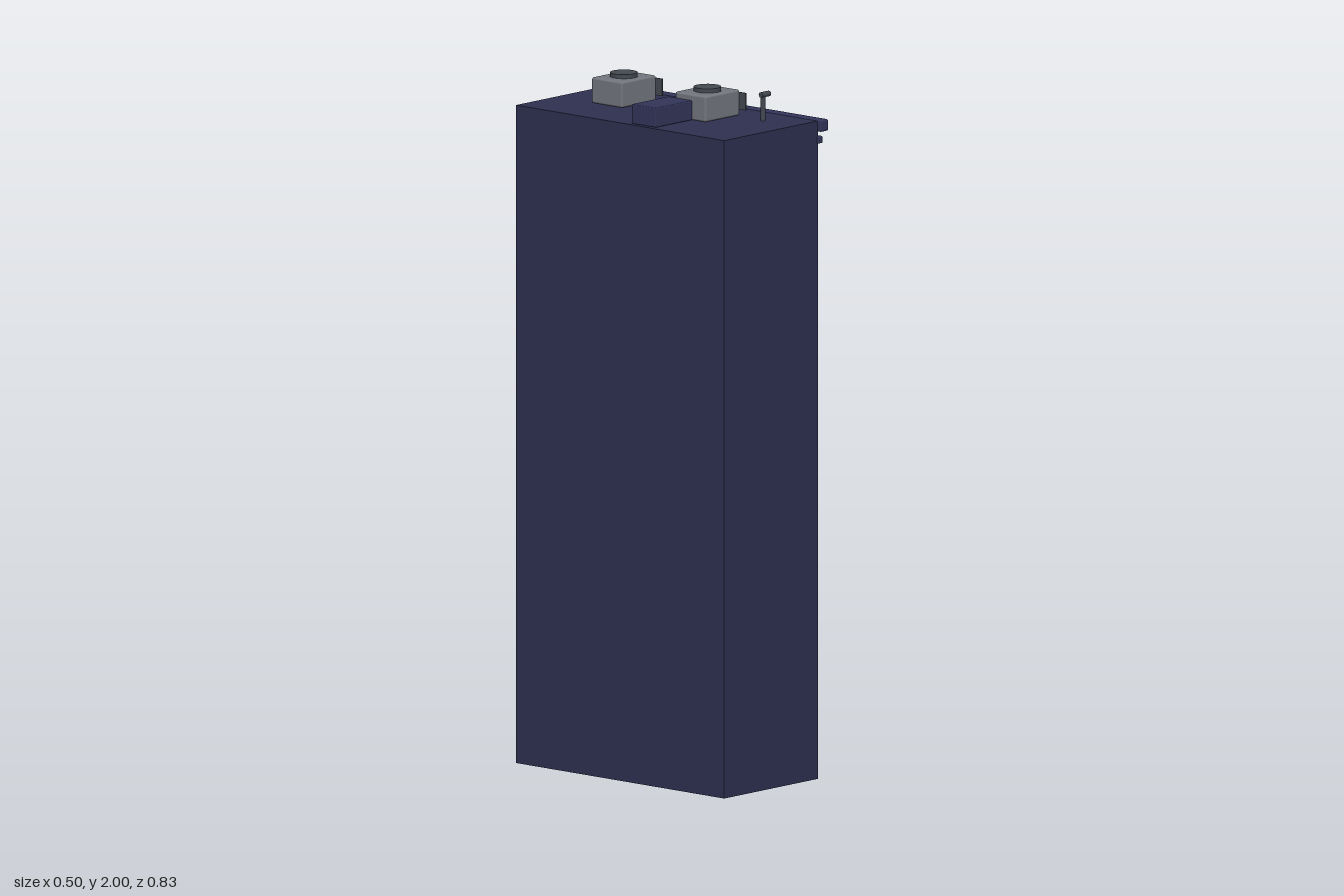
import * as THREE from 'three';
import { RoundedBoxGeometry } from 'three/addons/geometries/RoundedBoxGeometry.js';

const mat = (color) => new THREE.MeshStandardMaterial({ color });
const M = {
  wall: mat(0x2e3050), trim: mat(0x33355a), shop: mat(0x272a48), dark: mat(0x1d2036),
  lit: mat(0xd0b070), frame: mat(0x6e6250), door: mat(0x22252c), awning: mat(0x1f4a5a),
  iron: mat(0x2a2e33), stair: mat(0x3c4046), unit: mat(0x74777f), fan: mat(0x454a52),
};

// Box given by its min and max on each axis
function box(parent, name, material, [x0, x1], [y0, y1], [z0, z1], radius = 0) {
  const s = [x1 - x0, y1 - y0, z1 - z0];
  const geo = radius ? new RoundedBoxGeometry(...s, 2, radius) : new THREE.BoxGeometry(...s);
  const mesh = new THREE.Mesh(geo, material);
  mesh.name = name;
  mesh.position.set((x0 + x1) / 2, (y0 + y1) / 2, (z0 + z1) / 2);
  parent.add(mesh);
  return mesh;
}

function group(parent, name) {
  const g = new THREE.Group();
  g.name = name;
  parent.add(g);
  return g;
}

const WALL = 0.15, ROOF = 1.913;

// Two-pane window with lintel, mullion and sill
function addWindow(parent, y, z, isLit) {
  const g = group(parent, 'window');
  box(g, 'windowGlass', isLit ? M.lit : M.dark, [WALL - 0.01, 0.154], [y - 0.063, y + 0.063], [z - 0.049, z + 0.049]);
  box(g, 'mullion', isLit ? M.frame : M.wall, [WALL, 0.156], [y - 0.063, y + 0.063], [z - 0.003, z + 0.003]);
  for (const s of [-1, 1])
    box(g, 'jamb', M.wall, [WALL, 0.156], [y - 0.063, y + 0.063], [z + s * 0.05 - 0.002, z + s * 0.05 + 0.002]);
  box(g, 'lintel', M.frame, [WALL, 0.157], [y + 0.062, y + 0.068], [z - 0.053, z + 0.053]);
  box(g, 'sill', M.frame, [WALL, 0.16], [y - 0.07, y - 0.062], [z - 0.056, z + 0.056]);
}

// Platform with a railing on its three open sides
function addLanding(parent, y) {
  const g = group(parent, 'landing');
  const z0 = 0.055, z1 = 0.296, x1 = 0.245, top = y + 0.055, t = 0.006;
  box(g, 'platform', M.iron, [WALL, x1], [y - 0.005, y + 0.005], [z0, z1]);
  box(g, 'frontRail', M.iron, [x1 - t, x1], [top - t, top], [z0, z1]);
  for (const z of [z0, z1 - t]) {
    box(g, 'endRail', M.iron, [WALL, x1], [top - t, top], [z, z + t]);
  }
  for (let i = 0; i < 5; i++) {
    const z = z0 + (z1 - z0 - t) * i / 4;
    box(g, 'railPost', M.iron, [x1 - t, x1], [y, top], [z, z + t]);
  }
}

// Rooftop cooling unit with a fan cap and a screen on the street side
function addCoolingUnit(parent, z) {
  const g = group(parent, 'coolingUnit');
  box(g, 'unitHousing', M.unit, [-0.083, 0.063], [ROOF, 1.988], [z - 0.059, z + 0.059], 0.006);
  const fan = new THREE.Mesh(new THREE.CylinderGeometry(0.04, 0.04, 0.02, 14), M.fan);
  fan.name = 'fanCap';
  fan.position.set(-0.01, 1.99, z);
  g.add(fan);
  box(g, 'unitScreen', M.fan, [0.063, 0.067], [1.93, 1.98], [z - 0.081, z + 0.081]);
}

export function createModel() {
  const model = new THREE.Group();
  model.name = 'apartmentBuilding';

  // Main block and cornice
  box(model, 'mainBlock', M.wall, [-0.25, WALL], [0, ROOF], [-0.4, 0.4]);
  box(model, 'cornice', M.trim, [0.147, 0.18], [1.882, 1.916], [-0.414, 0.414], 0.005);
  box(model, 'corniceBand', M.trim, [0.145, 0.166], [1.847, 1.868], [-0.405, 0.405], 0.004);

  // Windows, bottom row first; 1 means lit, columns run from +z to -z
  const rows = ['0111', '1110', '0011', '1101', '1111', '0111', '0100'];
  const windows = group(model, 'windows');
  rows.forEach((row, r) => [...row].forEach((c, i) =>
    addWindow(windows, 0.31 + r * 0.2413, 0.281 - i * 0.1873, c === '1')));

  // Street front: surround, door, shop window, awning
  const shop = group(model, 'shopFront');
  box(shop, 'shopSurround', M.shop, [WALL - 0.01, 0.155], [0.05, 0.225], [-0.377, 0.377]);
  box(shop, 'door', M.door, [WALL, 0.16], [0.042, 0.197], [0.18, 0.302]);
  box(shop, 'shopGlass', M.lit, [WALL, 0.16], [0.075, 0.2], [-0.3, 0.11]);
  for (const z of [-0.3, -0.163, -0.027, 0.11])
    box(shop, 'shopMullion', M.frame, [WALL, 0.163], [0.075, 0.2], [z - 0.002, z + 0.002]);
  const awning = box(shop, 'awning', M.awning, [WALL, 0.166], [0.205, 0.243], [-0.34, 0.155]);
  // Slope the awning by pulling in its upper outer edge
  const p = awning.geometry.attributes.position;
  for (let i = 0; i < p.count; i++)
    if (p.getX(i) > 0 && p.getY(i) > 0) p.setX(i, p.getX(i) - 0.009);
  awning.geometry.computeVertexNormals();

  // Fire escape: five landings with flights alternating sides
  const escape = group(model, 'fireEscape');
  for (let i = 0; i < 5; i++) {
    const y = 0.552 + i * 0.2413;
    addLanding(escape, y);
    const z = i % 2 ? 0.274 : 0.081;
    box(escape, 'stairFlight', M.stair, [0.16, 0.24], [y, y + 0.2413], [z - 0.004, z + 0.004]);
  }

  // Roof: cooling units, stair bulkhead, vent pipe
  const roof = group(model, 'roofEquipment');
  addCoolingUnit(roof, 0.119);
  addCoolingUnit(roof, -0.202);
  box(roof, 'bulkhead', M.trim, [-0.237, -0.078], [ROOF, 1.97], [0.032, 0.125], 0.003);
  box(roof, 'bulkheadDoor', M.door, [-0.08, -0.071], [ROOF, 1.958], [0.045, 0.11]);
  const pipe = new THREE.Mesh(new THREE.CylinderGeometry(0.007, 0.007, 0.08, 10), M.fan);
  pipe.name = 'ventPipe';
  pipe.position.set(0.05, 1.95, 0.279);
  const cap = new THREE.Mesh(new THREE.CylinderGeometry(0.008, 0.008, 0.036, 10), M.fan);
  cap.name = 'ventElbow';
  cap.rotation.z = Math.PI / 2;
  cap.position.set(0.058, 1.988, 0.279);
  roof.add(pipe, cap);

  return model;
}
